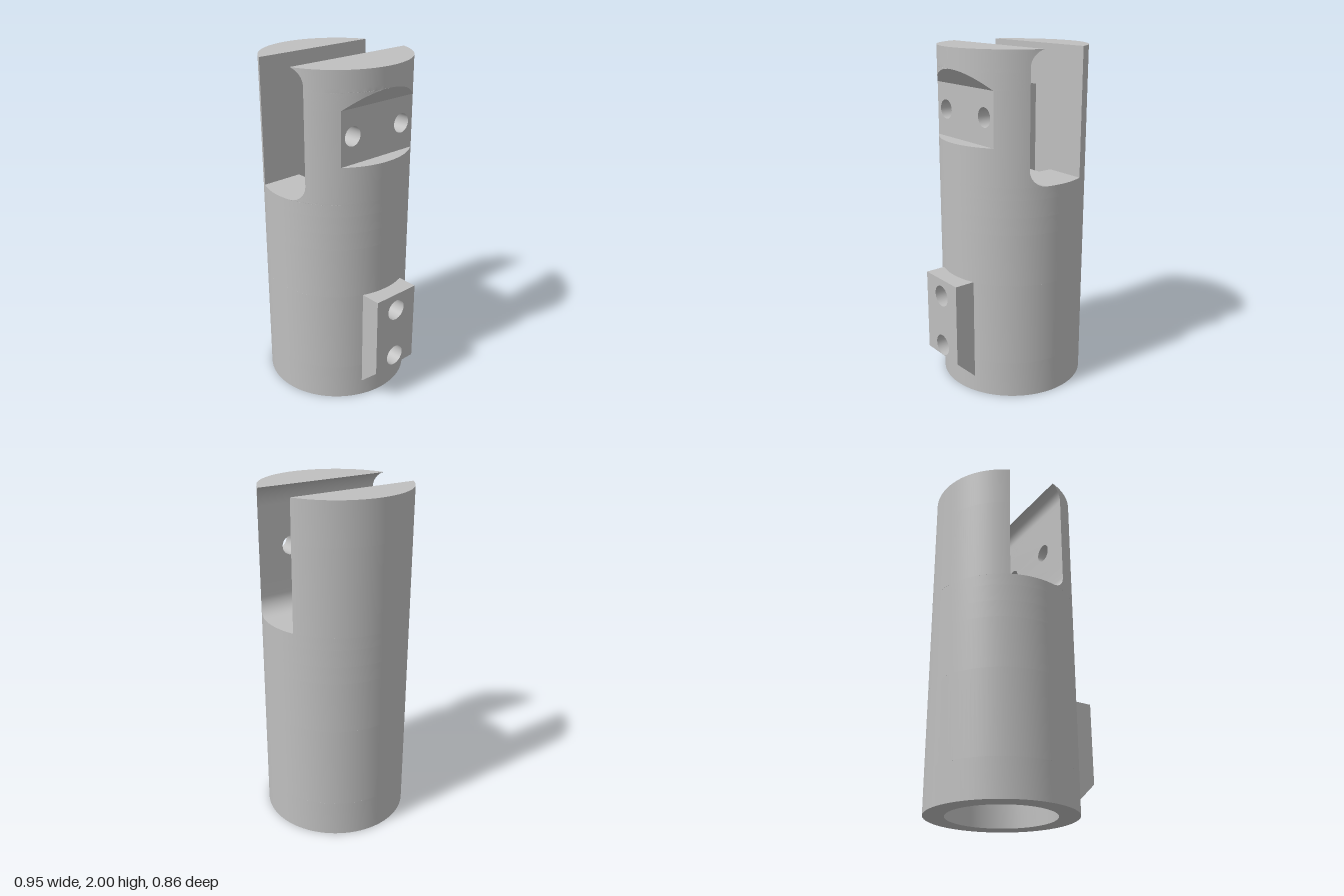
import * as THREE from 'three';
import { toCreasedNormals } from 'three/addons/utils/BufferGeometryUtils.js';

const CX = -0.0475, R = 0.4275, BORE = 0.31;      // body axis, outer and bore radius
const SLOT_L = -0.225, SLOT_R = 0.14, FLOOR = 1.27; // slot walls and floor
const FLAT = 0.29;                                // depth of the bolted flat

const metal = new THREE.MeshStandardMaterial({ color: 0xbfbfbf });
metal.name = 'grey metal';

const arc = (r, a0, a1, n = 96, cx = CX) => Array.from({ length: n + 1 }, (_, i) => {
  const a = a0 + (a1 - a0) * i / n;
  return new THREE.Vector2(cx + r * Math.cos(a), r * Math.sin(a));
});
const pts = (...list) => list.map(([x, y]) => new THREE.Vector2(x, y));
const circle = (r, cx = CX, n = 96) => arc(r, 0, Math.PI * 2, n, cx).slice(0, -1);
const angleAt = x => Math.acos(THREE.MathUtils.clamp((x - CX) / R, -1, 1));

function extrude(outline, holes, depth) {
  const shape = new THREE.Shape(outline);
  shape.holes = holes.map(h => new THREE.Path(h));
  return new THREE.ExtrudeGeometry(shape, { depth, bevelEnabled: false, curveSegments: 24 });
}

// Horizontal layer from a plan outline
const layer = (outline, holes, y0, y1) =>
  extrude(outline, holes, y1 - y0).rotateX(-Math.PI / 2).translate(0, y0, 0);

// Upright plate facing +x, with round holes given as [z, y, radius]
function plate(halfW, y0, y1, x0, x1, holes) {
  const n = 12, edge = Array.from({ length: n + 1 }, (_, i) => -halfW + 2 * halfW * i / n);
  const outline = pts(...edge.map(z => [z, y0]), ...edge.map(z => [-z, y1]));
  const paths = holes.map(([z, y, r]) => circle(r, z, 28).map(p => p.add(new THREE.Vector2(0, y))));
  return extrude(outline, paths, x1 - x0).rotateY(Math.PI / 2).translate(x0, 0, 0);
}

// Stack of disc slices, each cut to the range xL..xR: rows of [y, xL, xR]
function loft(rows) {
  const N = 32, pos = [];
  const rings = rows.map(([y, xL, xR]) => {
    const a1 = angleAt(xR), a0 = angleAt(xL);
    return [...arc(R, a1, a0, N), ...arc(R, -a0, -a1, N)].map(p => [p.x, y, -p.y]);
  });
  const m = rings[0].length, last = rings.length - 1;
  for (let i = 0; i < last; i++) {
    for (let j = 0; j < m; j++) {
      const k = (j + 1) % m, a = rings[i][j], b = rings[i][k], c = rings[i + 1][k], d = rings[i + 1][j];
      pos.push(...a, ...b, ...c, ...a, ...c, ...d);
    }
  }
  for (let j = 1; j < m - 1; j++) {
    pos.push(...rings[0][0], ...rings[0][j + 1], ...rings[0][j]);
    pos.push(...rings[last][0], ...rings[last][j], ...rings[last][j + 1]);
  }
  const g = new THREE.BufferGeometry();
  g.setAttribute('position', new THREE.Float32BufferAttribute(pos, 3));
  return g;
}

// Right wall of the slot: rounded inward at floor and top
function slotX(y) {
  const r = 0.095, low = FLOOR + r, high = 1.908;
  const d = y < low ? low - y : y > high ? y - high : 0;
  return SLOT_R - r + Math.sqrt(Math.max(0, r * r - d * d));
}

export function createModel() {
  const model = new THREE.Group();
  model.name = 'slottedHolder';
  const add = (name, geometry) => {
    const mesh = new THREE.Mesh(toCreasedNormals(geometry, 0.4), metal);
    mesh.name = name;
    model.add(mesh);
  };

  // Hollow lower body, open behind the side block for its bolt holes
  const bore = [circle(BORE)];
  const gapOut = Math.asin(0.15 / R), gapIn = Math.asin(0.15 / BORE), full = Math.PI * 2;
  add('tubeBottom', layer(circle(R), bore, 0, 0.215));
  add('tubeMiddle', layer([...arc(R, gapOut, full - gapOut), ...arc(BORE, full - gapIn, gapIn)], [], 0.215, 0.7));
  add('tubeTop', layer(circle(R), bore, 0.7, 1.0));

  // Narrower bore, then the slot floor with its window and centre mark
  const windowHole = pts([-0.345, -0.14], [-0.137, -0.14], [-0.137, 0.14], [-0.345, 0.14]);
  add('boreShoulder', layer(circle(R), [circle(0.216)], 1.0, 1.1));
  add('slotFloorBase', layer(circle(R), [windowHole], 1.1, 1.2));
  add('slotFloor', layer(circle(R), [windowHole, circle(0.016, CX, 24)], 1.2, FLOOR));

  // Left jaw with a pocket in its inner wall
  const a = angleAt(SLOT_L);
  const jaw = arc(R, a, full - a, 64);
  const pocket = pts([SLOT_L, -0.14], [-0.345, -0.14], [-0.345, 0.14], [SLOT_L, 0.14]);
  add('leftJawPocketed', layer([...jaw, ...pocket], [], FLOOR, 1.76));
  add('leftJawTop', layer(jaw, [], 1.76, 2));

  // Right jaw below the flat
  const lowRows = [];
  for (let i = 0; i <= 12; i++) {
    const y = FLOOR + 0.095 * (1 - Math.cos(i / 12 * Math.PI / 2));
    lowRows.push([y, slotX(y), 1]);
  }
  lowRows.push([1.485, SLOT_R, 1]);
  add('rightJawLower', loft(lowRows));

  // Drilled flat and the curved cheeks beside it
  const zFlat = Math.sqrt(R * R - (FLAT - CX) ** 2);
  add('boltFlat', plate(zFlat, 1.485, 1.79, SLOT_R, FLAT, [[-0.18, 1.64, 0.055], [0.18, 1.64, 0.055]]));
  for (const s of [1, -1]) {
    const cheek = [...pts([SLOT_R, s * zFlat]), ...arc(R, s * angleAt(FLAT), s * angleAt(SLOT_R), 12)];
    add('flatCheek', layer(cheek, [], 1.485, 1.79));
  }

  // Right jaw above the flat, with a sloped relief
  const highRows = [];
  for (let i = 0; i <= 16; i++) {
    const t = 1 - (1 - i / 16) ** 2;
    highRows.push([1.79 + 0.095 * t, SLOT_R, FLAT + (CX + R - FLAT) * t]);
  }
  for (let i = 0; i <= 12; i++) {
    const y = 1.908 + 0.092 * Math.sin(i / 12 * Math.PI / 2);
    highRows.push([y, slotX(y), 1]);
  }
  add('rightJawTop', loft(highRows));

  // Side block: drilled plate whose back follows the bore
  const block = plate(0.15, 0.215, 0.7, 0.2, 0.475, [[0, 0.595, 0.063], [0, 0.28, 0.063]]);
  const p = block.attributes.position;
  for (let i = 0; i < p.count; i++) {
    if (p.getX(i) < 0.3) p.setX(i, CX + Math.sqrt(BORE * BORE - p.getZ(i) ** 2));
  }
  add('sideBlock', block);

  // Sloped foot of the side block
  const foot = pts([0.3, 0.1], [0.355, 0.1], [0.475, 0.215], [0.3, 0.215]);
  add('sideBlockFoot', extrude(foot, [], 0.3).translate(0, 0, -0.15));

  return model;
}
